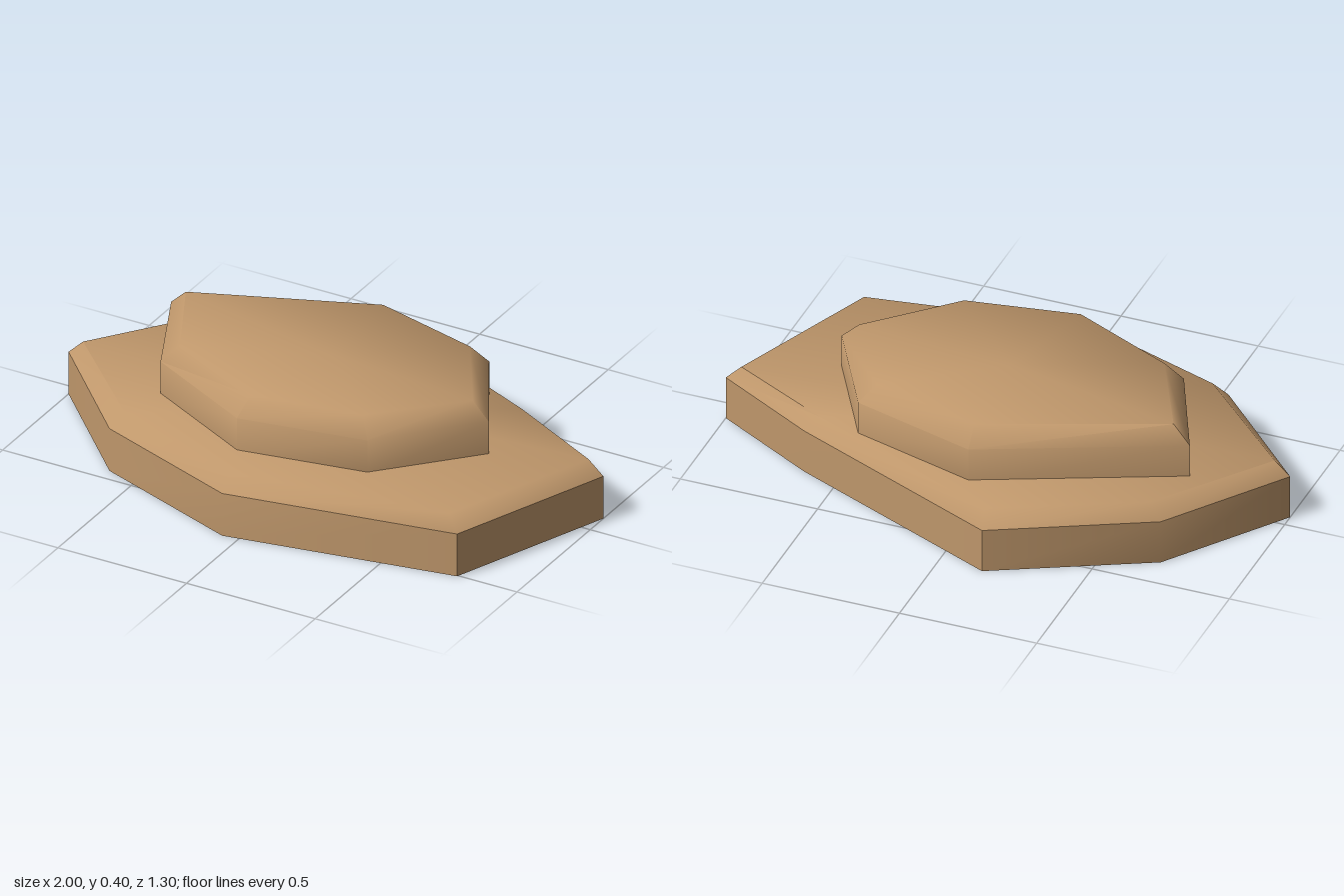
import * as THREE from 'three';
import { toCreasedNormals } from 'three/addons/utils/BufferGeometryUtils.js';

// Outlines as [x, z], clockwise seen from above
const LOWER = [[-1, 0.05], [-0.7, -0.375], [-0.16, -0.652], [0.63, -0.3], [1, -0.09], [0.77, 0.505], [-0.06, 0.652], [-0.615, 0.447]];
const UPPER = [[-0.715, -0.15], [-0.03, -0.453], [0.425, -0.32], [0.633, 0.047], [0.34, 0.363], [-0.12, 0.446], [-0.54, 0.23]];

// Ring of points at height y, pulled towards the middle by inset
function ring(outline, y, inset = 0) {
  return outline.map(([x, z]) => {
    const s = 1 - inset / Math.hypot(x, z);
    return new THREE.Vector3(x * s, y, z * s);
  });
}

// Skin stacked rings, optionally closing both ends with fans around the middle
function skin(rings, closed, creaseDegrees) {
  const pos = [];
  const tri = (...pts) => pts.forEach((p) => pos.push(p.x, p.y, p.z));
  const n = rings[0].length;
  const first = rings[0], last = rings[rings.length - 1];
  const bottom = new THREE.Vector3(0, first[0].y, 0);
  const top = new THREE.Vector3(0, last[0].y, 0);
  for (let i = 0; i < n; i++) {
    const j = (i + 1) % n;
    for (let r = 0; r + 1 < rings.length; r++) {
      const a = rings[r], b = rings[r + 1];
      tri(a[j], a[i], b[i]);
      tri(a[j], b[i], b[j]);
    }
    if (closed) {
      tri(bottom, first[i], first[j]);
      tri(top, last[j], last[i]);
    }
  }
  const geo = new THREE.BufferGeometry();
  geo.setAttribute('position', new THREE.Float32BufferAttribute(pos, 3));
  return toCreasedNormals(geo, THREE.MathUtils.degToRad(creaseDegrees));
}

export function createModel() {
  const group = new THREE.Group();
  group.name = 'steppedRock';
  const stone = new THREE.MeshStandardMaterial({ color: 0xbf976b, side: THREE.DoubleSide });
  stone.name = 'tan stone';

  const add = (name, geo) => {
    const mesh = new THREE.Mesh(geo, stone);
    mesh.name = name;
    group.add(mesh);
  };

  // Open skirt around the foot, hollow underneath
  const rim = ring(LOWER, 0.163);
  add('lowerSkirt', skin([ring(LOWER, 0), rim], false, 50));

  // Thin bevelled slab closing the skirt
  add('lowerSlab', skin([rim, ring(LOWER, 0.216, 0.055)], true, 55));

  // Smaller upper slab with a soft bevel
  add('upperSlab', skin([ring(UPPER, 0.2), ring(UPPER, 0.338), ring(UPPER, 0.401, 0.066)], true, 55));
  return group;
}
